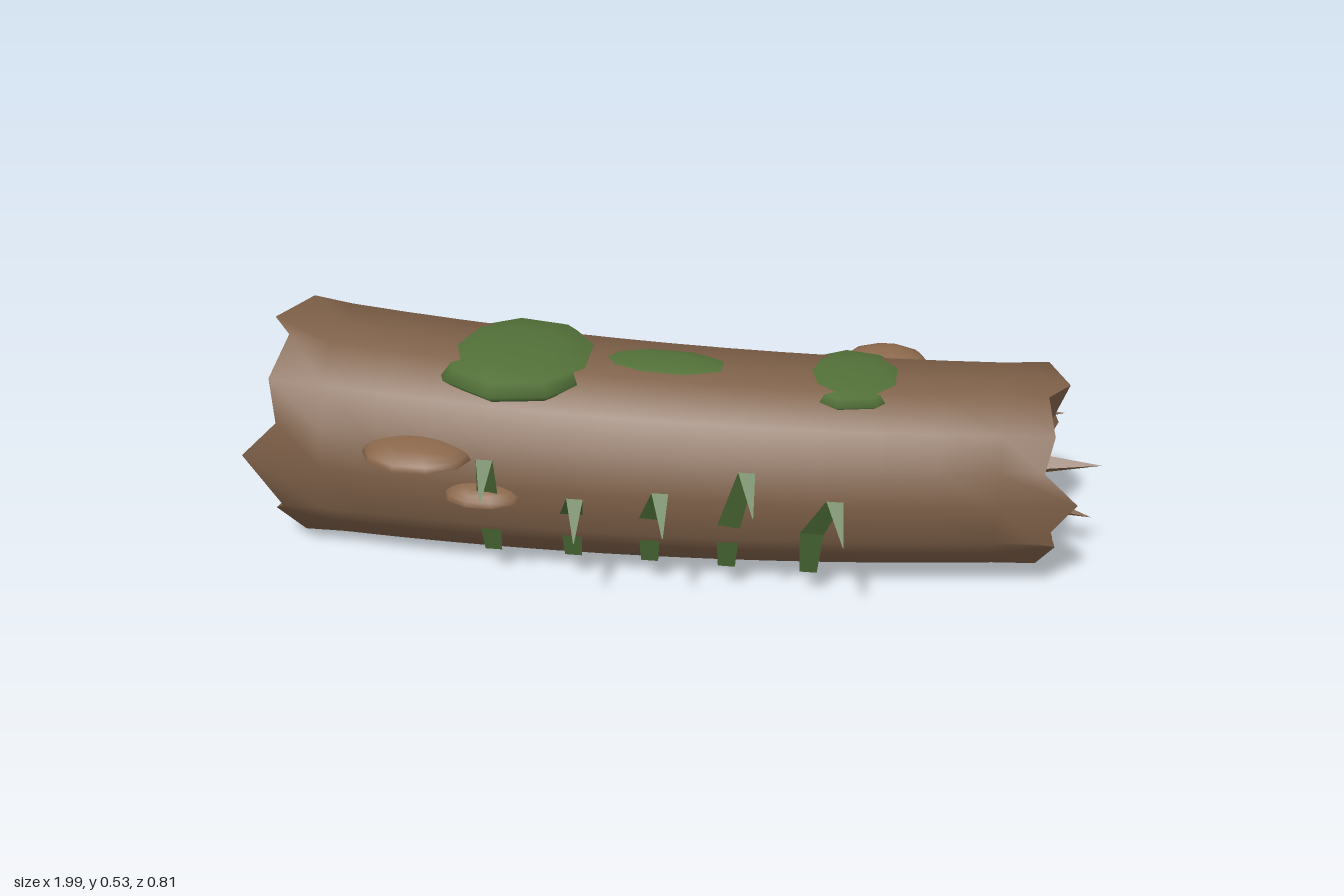
import * as THREE from 'three';

const SIDES = 16;
const colour = (name, hex) => {
  const m = new THREE.MeshStandardMaterial({ color: hex });
  m.name = name;
  return m;
};

// Centre line and radius of the bent log at a given x
const centre = (x) => ({ y: 0.265, z: 0.014 - 0.085 * x * x });
const radius = (x) => 0.238 - 0.025 * x + 0.004 * x * x;

// One ring of points; x and the radius factor may vary with the index
function ring(xAt, scaleAt) {
  const pts = [];
  for (let i = 0; i <= SIDES; i++) {
    const k = i % SIDES, a = (k / SIDES) * Math.PI * 2;
    const x = xAt(k), c = centre(x), r = radius(x) * scaleAt(k);
    pts.push(new THREE.Vector3(x, c.y + r * Math.sin(a), c.z + r * Math.cos(a)));
  }
  return pts;
}

// Skin a list of rings; faces point outward when x increases
function loft(rings, flat = false) {
  const pos = [], idx = [], n = SIDES + 1;
  rings.forEach((r) => r.forEach((p) => pos.push(p.x, p.y, p.z)));
  for (let i = 0; i < rings.length - 1; i++) {
    for (let j = 0; j < SIDES; j++) {
      const a = i * n + j, b = a + n;
      idx.push(a, b, a + 1, b, b + 1, a + 1);
    }
  }
  let g = new THREE.BufferGeometry();
  g.setAttribute('position', new THREE.Float32BufferAttribute(pos, 3));
  g.setIndex(idx);
  if (flat) g = g.toNonIndexed();
  g.computeVertexNormals();
  if (!flat) {
    // share the normal across the seam
    const nm = g.attributes.normal;
    for (let i = 0; i < rings.length; i++) {
      const v = new THREE.Vector3().fromBufferAttribute(nm, i * n);
      v.add(new THREE.Vector3().fromBufferAttribute(nm, i * n + SIDES)).normalize();
      nm.setXYZ(i * n, v.x, v.y, v.z);
      nm.setXYZ(i * n + SIDES, v.x, v.y, v.z);
    }
  }
  return g;
}

// Grass blade: a tapering strip that rises, then droops at the tip
function blade(x, peak, lean) {
  const path = [
    [x, 0.07, 0.195, 0.02], [x + lean * 0.1, 0.2, 0.24, 0.027],
    [x + lean * 0.7, peak, 0.314, 0.019], [x + lean, peak - 0.065, 0.4, 0.001],
  ];
  const pos = [], idx = [];
  path.forEach(([px, y, z, w], i) => {
    pos.push(px - w, y, z, px + w, y, z);
    if (i < 3) idx.push(2 * i, 2 * i + 1, 2 * i + 2, 2 * i + 1, 2 * i + 3, 2 * i + 2);
  });
  let g = new THREE.BufferGeometry();
  g.setAttribute('position', new THREE.Float32BufferAttribute(pos, 3));
  g.setIndex(idx);
  g = g.toNonIndexed();
  g.computeVertexNormals();
  return g;
}

export function createModel() {
  const model = new THREE.Group();
  model.name = 'hollowLog';
  const bark = colour('bark', 0x7e6048);
  const hollow = colour('hollow', 0x1f1718);
  const fungus = colour('fungus', 0x8b684c);
  const moss = colour('moss', 0x527038);
  const grass = colour('grass', 0x4e6e38);
  grass.side = THREE.DoubleSide;

  const add = (name, geometry, material, parent = model) => {
    const m = new THREE.Mesh(geometry, material);
    m.name = name;
    parent.add(m);
    return m;
  };

  // Jagged ends: every second point is a tooth, the others are notches
  const leftTeeth = [1, 0.94, 0.97, 0.95, 0.93, 0.94, 0.95, 0.95];
  const rightTeeth = [0.94, 0.88, 0.91, 0.89, 0.9, 0.88, 0.9, 0.9];
  const leftX = (k) => (k % 2 ? -0.9 : -leftTeeth[k / 2]);
  const rightX = (k) => (k % 2 ? 0.86 : rightTeeth[k / 2]);
  const jag = (k) => (k % 2 ? 1.08 : 0.93);
  // The trunk is eight-sided: odd points are corners, even ones lie on the flats
  const octagon = (k) => (k % 2 ? 1.062 : 0.983);

  // Bark skin
  const mouth = ring(leftX, jag), brokenEdge = ring(rightX, jag);
  const body = [mouth];
  for (let i = 0; i <= 12; i++) {
    const x = -0.8 + i * 0.13;
    body.push(ring(() => x, octagon));
  }
  body.push(brokenEdge);
  add('barkSkin', loft(body), bark);

  // Splintered solid end
  add('brokenEnd', loft([brokenEdge, ring(() => 0.83, () => 0)], true), bark);

  // Rim and dark inside of the open end
  const inner = ring((k) => leftX(k) + 0.035, (k) => jag(k) * 0.84);
  add('openRim', loft([inner, mouth], true), bark);
  add('hollowInside', loft([
    ring(() => -0.3, () => 0), ring(() => -0.3, () => 0.72), inner,
  ], true), hollow);

  // Splinters on the solid end: position of the middle, then direction
  const splinters = new THREE.Group();
  splinters.name = 'splinters';
  model.add(splinters);
  const up = new THREE.Vector3(0, 1, 0);
  [
    [0.9, 0.33, 0.07, 0.07, 0.06],
    [0.82, 0.33, -0.167, 0.05, -0.1],
    [0.9, 0.132, -0.078, -0.25, -0.02],
  ].forEach(([x, y, z, dy, dz]) => {
    const g = new THREE.ConeGeometry(0.032, 0.18, 4).toNonIndexed();
    g.computeVertexNormals();
    const s = add('splinter', g, bark, splinters);
    s.position.set(x, y, z);
    s.quaternion.setFromUnitVectors(up, new THREE.Vector3(1, dy, dz).normalize());
  });

  // Shelf fungi: flat-bottomed oval domes
  const fungi = new THREE.Group();
  fungi.name = 'shelfFungi';
  model.add(fungi);
  [[-0.56, 0.332, 0.235, 0.13, 0.045], [-0.41, 0.235, 0.228, 0.095, 0.04], [0.475, 0.354, -0.34, 0.105, 0.042]].forEach(([x, y, z, r, h]) => {
    const shelf = new THREE.Group();
    shelf.name = 'shelfFungus';
    shelf.position.set(x, y, z);
    shelf.scale.set(r, h, r * 0.71);
    fungi.add(shelf);
    add('fungusTop', new THREE.SphereGeometry(1, 10, 5, 0, Math.PI * 2, 0, Math.PI / 2), fungus, shelf);
    add('fungusUnderside', new THREE.CircleGeometry(1, 10).rotateX(Math.PI / 2), fungus, shelf);
  });

  // Moss cushions sunk into the top
  [[-0.36, 0.483, 0.02, 0.2, 0.046, 0.205], [-0.04, 0.485, 0.015, 0.19, 0.023, 0.085], [0.41, 0.472, -0.005, 0.135, 0.028, 0.148]].forEach(([x, y, z, rx, ry, rz]) => {
    const m = add('mossCushion', new THREE.SphereGeometry(1, 9, 6), moss);
    m.position.set(x, y, z);
    m.scale.set(rx, ry, rz);
  });

  // Grass along the front
  const tuft = new THREE.Group();
  tuft.name = 'grassRow';
  model.add(tuft);
  [[-0.4, 0.375, 0.02], [-0.21, 0.29, 0.04], [-0.03, 0.32, 0.06], [0.15, 0.388, 0.08], [0.34, 0.33, 0.09]].forEach(
    ([x, peak, lean]) => add('grassBlade', blade(x, peak, lean), grass, tuft));

  return model;
}
